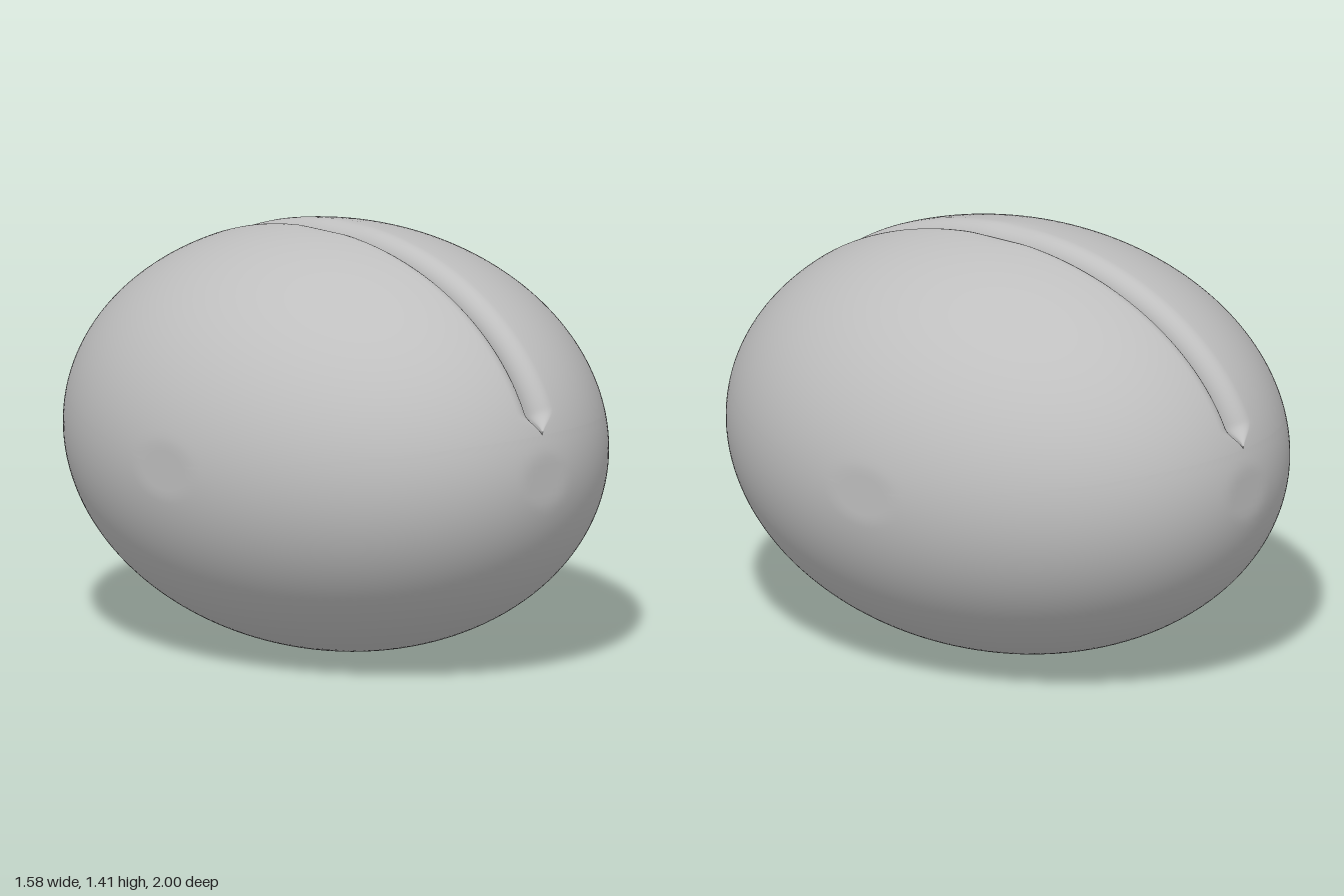
import * as THREE from 'three';
import { mergeVertices } from 'three/addons/utils/BufferGeometryUtils.js';

// Half-axes of the ellipsoid and the flats at its poles
const A = 0.797, B = 0.711, C = 1.008;
const FLAT_X = 0.79, FLAT_Y = 0.705, FLAT_Z = 1;
// Slot: floor height (from the centre), half-width, lip rounding
const FLOOR = 0.15, HALF_WIDTH = 0.016, LIP = 0.065;
const LIP_STEPS = 8, SIDE_STEPS = 48, SLOT_ROWS = 130, LOWER_ROWS = 100;

const clamp = THREE.MathUtils.clamp;

// Angles round the x axis: 0 is front, PI/2 is top; rows crowd at the slot ends
function rowAngles() {
  const start = Math.asin(FLOOR / B), rows = [];
  for (let i = 0; i < SLOT_ROWS; i++) {
    rows.push(Math.PI / 2 - (Math.PI / 2 - start) * Math.cos(Math.PI * i / SLOT_ROWS));
  }
  for (let i = 0; i < LOWER_ROWS; i++) {
    rows.push(Math.PI - start + (Math.PI + 2 * start) * i / LOWER_ROWS);
  }
  return rows;
}

// One half outline, from the slot floor over the lip to the side pole
function halfRow(a) {
  const sin = Math.sin(a), cos = Math.cos(a);
  const open = THREE.MathUtils.smoothstep(B * sin, FLOOR, FLOOR + 0.08);
  const w = HALF_WIDTH * Math.sqrt(open), r = LIP * open;
  const normal = new THREE.Vector2(sin / B, cos / C).normalize();
  const slot = B * sin > FLOOR;

  const surface = (x, inset) => {
    const k = Math.sqrt(Math.max(0, 1 - (x / A) ** 2));
    const y = clamp(B * sin * k, -FLAT_Y, FLAT_Y) - inset * normal.x;
    const z = clamp(C * cos * k, -FLAT_Z, FLAT_Z) - inset * normal.y;
    return [Math.min(x, FLAT_X), inset > 0 ? Math.max(y, FLOOR) : y, z];
  };

  const rim = surface(w, r), points = [];
  // Rounded slot floor
  for (let i = 0; i <= 3; i++) {
    const t = i / 3 * Math.PI / 2;
    const y = slot ? Math.min(FLOOR + w * (1 - Math.cos(t)), rim[1]) : rim[1];
    points.push([w * Math.sin(t), y, rim[2]]);
  }
  // Wall top and rounded lip
  for (let i = 0; i <= LIP_STEPS; i++) {
    const t = i / LIP_STEPS * Math.PI / 2;
    points.push(surface(w + r * (1 - Math.cos(t)), r * (1 - Math.sin(t))));
  }
  // Outer shell
  const first = Math.asin((w + r) / A);
  for (let i = 1; i <= SIDE_STEPS; i++) {
    points.push(surface(A * Math.sin(first + (Math.PI / 2 - first) * i / SIDE_STEPS), 0));
  }
  return points;
}

function slottedEllipsoid() {
  const rows = rowAngles().map((a) => {
    const half = halfRow(a);
    const mirrored = half.slice(1).reverse().map(([x, y, z]) => [-x, y, z]);
    return [...mirrored, ...half];
  });
  const n = rows[0].length, index = [];
  rows.forEach((row, j) => {
    const here = j * n, next = ((j + 1) % rows.length) * n;
    for (let i = 0; i < n - 1; i++) {
      index.push(here + i, here + i + 1, next + i);
      index.push(here + i + 1, next + i + 1, next + i);
    }
  });
  const geometry = new THREE.BufferGeometry();
  geometry.setAttribute('position', new THREE.Float32BufferAttribute(rows.flat(2), 3));
  geometry.setIndex(index);
  const merged = mergeVertices(geometry, 1e-5);
  merged.computeVertexNormals();
  return merged;
}

export function createModel() {
  const grey = new THREE.MeshStandardMaterial({ color: 0xbfbfbf });
  grey.name = 'light grey';

  const body = new THREE.Mesh(slottedEllipsoid(), grey);
  body.name = 'slottedBody';
  body.position.y = FLAT_Y;

  const group = new THREE.Group();
  group.name = 'slottedEllipsoid';
  group.add(body);
  return group;
}
